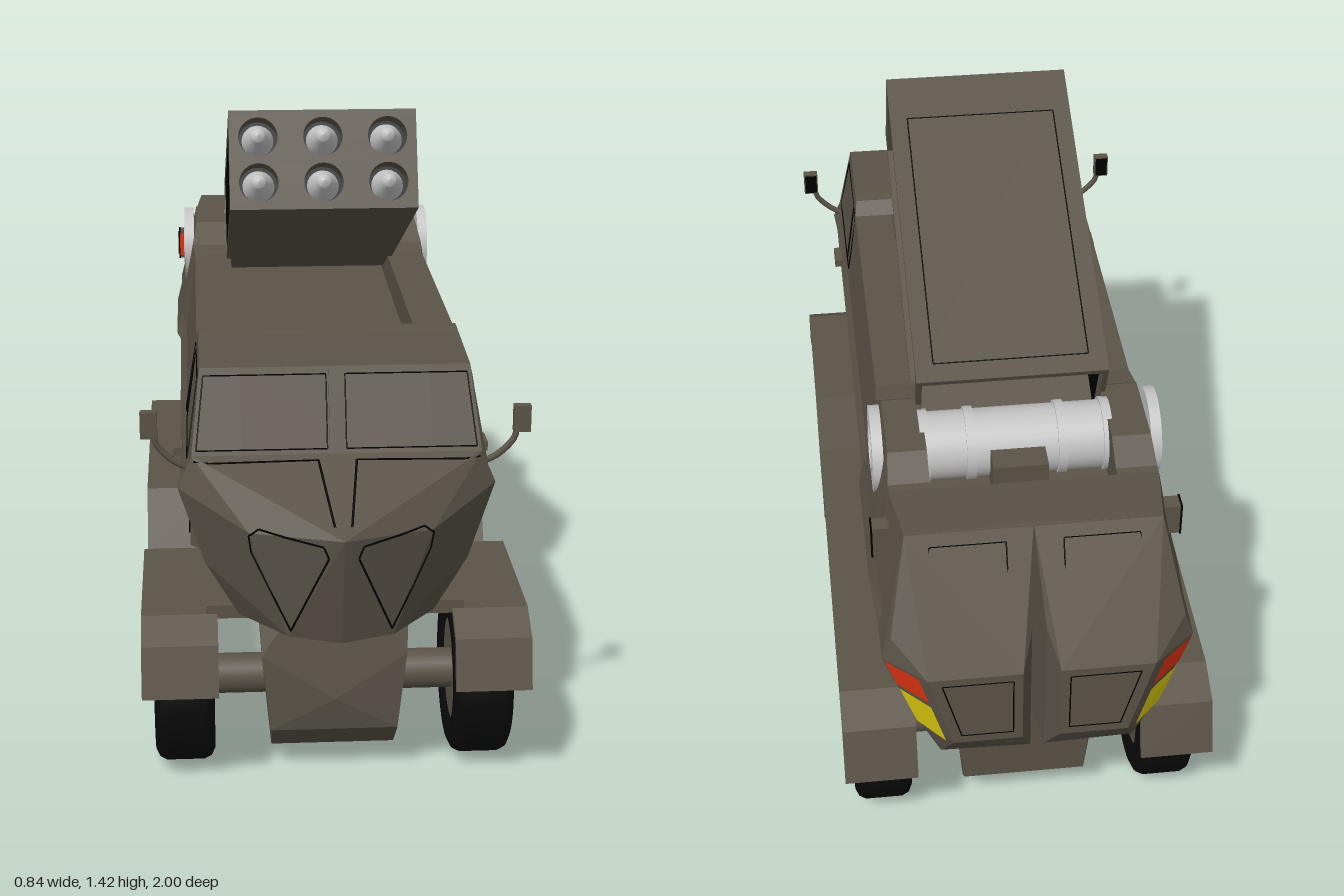
import * as THREE from 'three';
import { mergeGeometries } from 'three/addons/utils/BufferGeometryUtils.js';
import { ConvexGeometry } from 'three/addons/geometries/ConvexGeometry.js';

const mat = (name, color, extra = {}) => {
  const m = new THREE.MeshStandardMaterial({ color, ...extra });
  m.name = name;
  return m;
};
const V = (x, y, z) => new THREE.Vector3(x, y, z);

export function createModel() {
  const root = new THREE.Group();
  root.name = 'rocketTruck';
  const olive = mat('olive drab', 0x5a5348);
  const rubber = mat('rubber', 0x0a0a0a);
  const black = mat('black', 0x000000);
  const white = mat('light grey', 0xc4c4c4);
  const red = mat('red', 0xe03412, { side: THREE.DoubleSide });
  const yellow = mat('yellow', 0xdccb0e, { side: THREE.DoubleSide });

  const add = (name, geo, m, parent = root, x = 0, y = 0, z = 0) => {
    const mesh = new THREE.Mesh(geo, m);
    mesh.name = name;
    mesh.position.set(x, y, z);
    parent.add(mesh);
    return mesh;
  };
  const box = (name, m, w, h, d, x, y, z, parent) =>
    add(name, new THREE.BoxGeometry(w, h, d), m, parent, x, y, z);
  // cylinder lying along x
  const rod = (name, m, r, len, x, y, z, parent, seg = 28) =>
    add(name, new THREE.CylinderGeometry(r, r, len, seg).rotateZ(Math.PI / 2), m, parent, x, y, z);
  const convex = (name, m, pts, s = 1) =>
    add(name, new ConvexGeometry(pts.map(([x, y, z]) => V(x * s, y, z))), m);
  const quad = (name, m, p) => {
    const g = new THREE.BufferGeometry().setFromPoints([p[0], p[1], p[2], p[0], p[2], p[3]]);
    g.computeVertexNormals();
    return add(name, g, m);
  };
  const seam = (name, pts, closed = false, parent = root, r = 0.0015) => {
    const all = closed ? [...pts, pts[0]] : pts;
    const segs = all.slice(1).map((p, i) =>
      new THREE.TubeGeometry(new THREE.LineCurve3(all[i], p), 1, r, 4));
    return add(name, mergeGeometries(segs), black, parent);
  };

  // hull: z, lower side x, widest x, shoulder y, roof x, roof y, well floor y
  const sections = [
    [0.77, 0.28, 0.335, 0.75, 0.305, 0.79, 0.79], [0.70, 0.28, 0.33, 0.76, 0.285, 0.96, 0.96],
    [0.50, 0.28, 0.33, 0.76, 0.285, 0.97, 0.97], [0.47, 0.26, 0.33, 0.76, 0.285, 0.972, 0.972],
    [0.44, 0.26, 0.33, 0.76, 0.285, 0.972, 0.972], [0.41, 0.26, 0.33, 0.75, 0.29, 0.945, 0.945],
    [0.40, 0.26, 0.33, 0.75, 0.29, 0.945, 0.87], [-0.30, 0.26, 0.33, 0.75, 0.29, 0.945, 0.87],
    [-0.36, 0.262, 0.34, 0.77, 0.295, 0.955, 0.87], [-0.42, 0.262, 0.34, 0.79, 0.285, 1.0, 0.87],
    [-0.60, 0.262, 0.34, 0.79, 0.285, 1.0, 0.87], [-0.66, 0.262, 0.34, 0.77, 0.29, 0.96, 0.87],
    [-0.68, 0.262, 0.34, 0.77, 0.29, 0.96, 0.96], [-0.84, 0.26, 0.33, 0.75, 0.27, 0.975, 0.975],
  ].map(([z, xl, xm, ys, xt, yt, fl]) => {
    const half = [[0.21, 0.43], [xl, 0.55], [xm, 0.72], [xm - 0.015, ys], [xt, yt], [0.2, yt], [0.2, fl]];
    return [...half.map(([x, y]) => V(x, y, z)), ...half.reverse().map(([x, y]) => V(-x, y, z))];
  });
  const tris = [];
  for (let i = 0; i < sections.length - 1; i++) {
    const f = sections[i], b = sections[i + 1], n = f.length;
    for (let j = 0; j < n; j++) {
      const k = (j + 1) % n;
      tris.push(f[j], b[j], b[k], f[j], b[k], f[k]);
    }
  }
  const hull = new THREE.BufferGeometry().setFromPoints(tris);
  hull.computeVertexNormals();
  add('hull', hull, olive);

  // pointed nose
  const nosePts = [[0, 0.79, 0.77], [0, 0.685, 1.0], [0, 0.43, 0.93]];
  for (const s of [1, -1]) nosePts.push([s * 0.305, 0.79, 0.77], [s * 0.335, 0.72, 0.77], [s * 0.28, 0.55, 0.77],
    [s * 0.19, 0.67, 0.905], [s * 0.11, 0.44, 0.912], [s * 0.21, 0.43, 0.77]);
  const nose = convex('nose', olive, nosePts);
  const ray = new THREE.Raycaster();
  // lay a front-facing outline onto the nose surface
  const drape = (pts) => {
    const out = [];
    for (let i = 0; i < pts.length - 1; i++) for (let t = 0; t < 8; t++) {
      const x = THREE.MathUtils.lerp(pts[i][0], pts[i + 1][0], t / 8);
      const y = THREE.MathUtils.lerp(pts[i][1], pts[i + 1][1], t / 8);
      ray.set(V(x, y, 3), V(0, 0, -1));
      const hit = ray.intersectObject(nose)[0];
      if (hit) out.push(hit.point);
    }
    return out;
  };

  box('windscreenPost', olive, 0.03, 0.17, 0.014, 0, 0.876, 0.737).rotation.x = -0.38;
  box('chassisBeam', olive, 0.22, 0.06, 1.1, 0, 0.16, 0);

  // axle housings and axles
  for (const [zc, z0, z1] of [[0.565, -0.05, 0.11], [-0.2, -0.12, 0.1], [-0.595, -0.16, 0.23]]) {
    const pts = [[0, 0.2, zc + 0.165]];
    for (const s of [1, -1]) {
      pts.push([s * 0.165, 0.43, zc + z0], [s * 0.165, 0.43, zc + z1], [s * 0.07, 0.43, zc + z1 + 0.02]);
      for (const d of [1, -1]) pts.push([s * 0.16, 0.3, zc + d * 0.15],
        [s * 0.14, 0.12, zc + d * 0.15], [s * 0.138, 0.05, zc + d * 0.08]);
    }
    convex('axleHousing', olive, pts);
    rod('axle', olive, 0.045, 0.6, 0, 0.19, zc);
  }

  const tyre = new THREE.LatheGeometry([[0.11, -0.05], [0.125, -0.064], [0.165, -0.066], [0.182, -0.058], [0.19, -0.042],
    [0.19, 0.042], [0.182, 0.058], [0.165, 0.066], [0.125, 0.064], [0.11, 0.05]]
    .map(([r, y]) => new THREE.Vector2(r, y)), 40).rotateZ(Math.PI / 2);

  // fender strip outline in side view
  const upper = [[0.83, 0.26], [0.80, 0.37], [0.73, 0.412], [0.36, 0.412], [0.30, 0.275], [0.05, 0.275],
    [-0.03, 0.412], [-0.72, 0.412], [-0.81, 0.375], [-0.85, 0.25]];
  const lower = [[0.818, 0.255], [0.788, 0.36], [0.725, 0.4], [0.37, 0.4], [0.31, 0.262], [0.042, 0.262],
    [-0.039, 0.4], [-0.717, 0.4], [-0.8, 0.365], [-0.838, 0.245]];
  const fenderShape = new THREE.Shape([...upper, ...lower.reverse()].map(([z, y]) => new THREE.Vector2(-z, y)));
  const fender = new THREE.ExtrudeGeometry(fenderShape, { depth: 0.165, bevelEnabled: false })
    .rotateY(Math.PI / 2);

  for (const s of [1, -1]) {
    const P = (x, y, z) => V(x * s, y, z);
    // wheels
    for (const z of [0.565, -0.2, -0.595]) {
      const wheel = new THREE.Group();
      wheel.name = 'wheel';
      wheel.position.set(s * 0.33, 0.19, z);
      root.add(wheel);
      add('tyre', tyre, rubber, wheel);
      rod('rim', olive, 0.115, 0.112, 0, 0, 0, wheel, 32);
      add('hubRing', new THREE.TorusGeometry(0.056, 0.007, 8, 28).rotateY(Math.PI / 2), olive, wheel, s * 0.056);
      rod('hubCap', olive, 0.042, 0.012, s * 0.056, 0, 0, wheel);
    }
    add('fender', fender, olive, root, s > 0 ? 0.255 : -0.42);
    for (const [z0, z1] of [[0.36, 0.73], [-0.72, -0.03]])
      box('fenderMount', olive, 0.12, 0.03, z1 - z0, s * 0.22, 0.416, (z0 + z1) / 2);

    // side locker: body, sill, then the coloured slanted ends
    const slab = (name, y0, y1, plan) =>
      convex(name, olive, [y0, y1].flatMap((y) => plan.map(([x, z]) => [x, y, z])), s);
    slab('sideLocker', 0.43, 0.66, [[0.2, 0.405], [0.28, 0.405], [0.312, 0.385], [0.312, -0.333], [0.2, -0.336]]);
    slab('lockerSill', 0.43, 0.465, [[0.2, 0.465], [0.285, 0.416], [0.312, 0.385], [0.312, -0.333], [0.2, -0.375]]);
    box('lockerPanel', black, 0.008, 0.185, 0.69, s * 0.311, 0.552, 0.035);
    convex('frontMarker', yellow, [[0.2, 0.465, 0.468], [0.23, 0.465, 0.468], [0.285, 0.465, 0.416], [0.2, 0.465, 0.4],
      [0.285, 0.465, 0.4], [0.2, 0.648, 0.468], [0.308, 0.648, 0.468], [0.312, 0.648, 0.416], [0.2, 0.648, 0.4],
      [0.312, 0.648, 0.4]], s);
    convex('rearMarker', red, [[0.2, 0.465, -0.377], [0.235, 0.465, -0.377], [0.312, 0.465, -0.338], [0.2, 0.465, -0.334],
      [0.312, 0.465, -0.334], [0.2, 0.64, -0.377], [0.308, 0.64, -0.377], [0.312, 0.64, -0.338], [0.2, 0.64, -0.334],
      [0.312, 0.64, -0.334]], s);

    // rear door block
    convex('rearDoor', olive, [[0, 0.975, -0.83], [0.27, 0.975, -0.84], [0.015, 0.78, -0.94], [0.31, 0.78, -0.935],
      [0.33, 0.72, -0.93], [0.04, 0.71, -1], [0.24, 0.71, -1], [0.04, 0.52, -1], [0.187, 0.52, -1], [0.015, 0.43, -0.94],
      [0.21, 0.43, -0.935], [0.265, 0.55, -0.94], [0, 0.43, -0.83], [0.21, 0.43, -0.83], [0.33, 0.72, -0.83]], s);
    seam('rearWindowSeam', [P(0.06, 0.95, -0.854), P(0.22, 0.95, -0.854), P(0.25, 0.81, -0.926), P(0.06, 0.81, -0.926)], true);
    seam('rearDoorSeam', [P(0.06, 0.69, -1), P(0.21, 0.69, -1), P(0.17, 0.54, -1), P(0.06, 0.54, -1)], true);

    // tail lights on the corner chamfer
    const c = [P(0.33, 0.725, -0.93), P(0.24, 0.712, -1), P(0.187, 0.52, -1), P(0.265, 0.55, -0.94)];
    const at = (u, v) => c[0].clone().lerp(c[1], u).lerp(c[3].clone().lerp(c[2], u), v).add(P(0.004, 0, -0.006));
    const lamp = (name, m, v0, v1) => quad(name, m, [at(0.1, v0), at(0.84, v0), at(0.84, v1), at(0.1, v1)]);
    lamp('brakeLamp', red, 0, 0.38);
    lamp('turnLamp', yellow, 0.45, 1);

    // rear side marker
    box('sideMarkerHousing', olive, 0.04, 0.075, 0.036, s * 0.312, 0.87, -0.72);
    box('sideMarkerFrame', black, 0.004, 0.078, 0.04, s * 0.332, 0.87, -0.72);
    box('sideMarkerCover', olive, 0.004, 0.06, 0.024, s * 0.334, 0.87, -0.72);
    box('sideMarkerLens', red, 0.038, 0.06, 0.006, s * 0.312, 0.87, -0.7);

    // cab seams, handle and mirror
    seam('windscreenSeam', [P(0.02, 0.8, 0.767), P(0.295, 0.8, 0.767), P(0.278, 0.945, 0.707), P(0.02, 0.945, 0.707)], true);
    seam('sideWindowSeam', [P(0.314, 0.775, 0.74), P(0.29, 0.935, 0.685), P(0.29, 0.935, 0.48), P(0.314, 0.775, 0.48)], true);
    seam('doorPanelSeam', [P(0.314, 0.785, 0.465), P(0.29, 0.935, 0.465), P(0.291, 0.93, 0.415), P(0.314, 0.785, 0.415)], true);
    box('doorHandle', olive, 0.02, 0.02, 0.06, s * 0.335, 0.73, 0.55);
    add('mirrorArm', new THREE.TubeGeometry(new THREE.CatmullRomCurve3(
      [P(0.31, 0.75, 0.73), P(0.345, 0.77, 0.735), P(0.38, 0.81, 0.735), P(0.38, 0.84, 0.735)]), 10, 0.007, 6), olive);
    box('mirror', olive, 0.036, 0.058, 0.02, s * 0.393, 0.85, 0.737);
    box('mirrorGlass', black, 0.03, 0.05, 0.004, s * 0.393, 0.85, 0.726);
    seam('noseSeam', drape([[0.3, 0.78], [0.04, 0.782], [0.014, 0.69]].map(([x, y]) => [x * s, y])), false, root, 0.0025);
    seam('headlampSeam', drape([[0.19, 0.664], [0.17, 0.68], [0.04, 0.665], [0.03, 0.64], [0.105, 0.455], [0.185, 0.625],
      [0.19, 0.664]].map(([x, y]) => [x * s, y])), true, root, 0.0025);

    // launcher pivot discs
    rod('pivotDisc', white, 0.095, 0.024, s * 0.304, 0.925, -0.49, root, 36);
    add('pivotRing', new THREE.TorusGeometry(0.046, 0.003, 6, 28).rotateY(Math.PI / 2), white, root, s * 0.316, 0.925, -0.49);
  }

  // launcher cradle
  rod('pivotDrum', white, 0.075, 0.42, 0, 0.93, -0.5);
  for (const x of [-0.2, -0.1, 0.1, 0.2]) rod('drumBand', white, 0.081, 0.02, x, 0.93, -0.5);
  rod('pivotShaft', olive, 0.035, 0.6, 0, 0.925, -0.49);
  box('cradleBlock', olive, 0.12, 0.1, 0.14, 0, 0.91, -0.56);

  // rocket pod, tilted up: open on its left and at the back, dark wall on its right
  const pod = new THREE.Group();
  pod.name = 'rocketPod';
  pod.position.set(0, 1.152, -0.067);
  pod.rotation.x = -THREE.MathUtils.degToRad(24);
  root.add(pod);
  for (const y of [-0.1055, 0.1055]) box('podPlate', olive, 0.42, 0.014, 0.81, 0, y, 0, pod);
  for (const s of [1, -1]) box('podRearPost', olive, 0.012, 0.2, 0.03, s * 0.204, 0, -0.39, pod);
  box('podSideWall', black, 0.012, 0.198, 0.73, -0.202, 0, -0.01, pod);
  seam('podTopSeam', [V(-0.17, 0.113, 0.29), V(0.17, 0.113, 0.29), V(0.17, 0.113, -0.36), V(-0.17, 0.113, -0.36)], true, pod);

  const face = new THREE.Shape([[-0.21, -0.1], [0.21, -0.1], [0.21, 0.1], [-0.21, 0.1]].map(([x, y]) => new THREE.Vector2(x, y)));
  for (const x of [-0.145, 0, 0.145]) for (const y of [-0.052, 0.052]) {
    face.holes.push(new THREE.Path().absarc(x, y, 0.044, 0, Math.PI * 2, true));
    add('rocketBody', new THREE.CylinderGeometry(0.043, 0.043, 0.42, 24).rotateX(Math.PI / 2), white, pod, x, y, 0.145);
    add('tubeLiner', new THREE.CircleGeometry(0.044, 24), black, pod, x, y, 0.358);
    add('rocketTip', new THREE.LatheGeometry([[0.036, 0], [0.03, 0.025], [0.016, 0.052], [0.014, 0.062], [0, 0.068]]
      .map(([r, h]) => new THREE.Vector2(r, h)), 20).rotateX(Math.PI / 2), white, pod, x, y, 0.359);
  }
  add('podFace', new THREE.ExtrudeGeometry(face, { depth: 0.055, bevelEnabled: false, curveSegments: 20 }), olive, pod, 0, 0, 0.35);
  return root;
}
